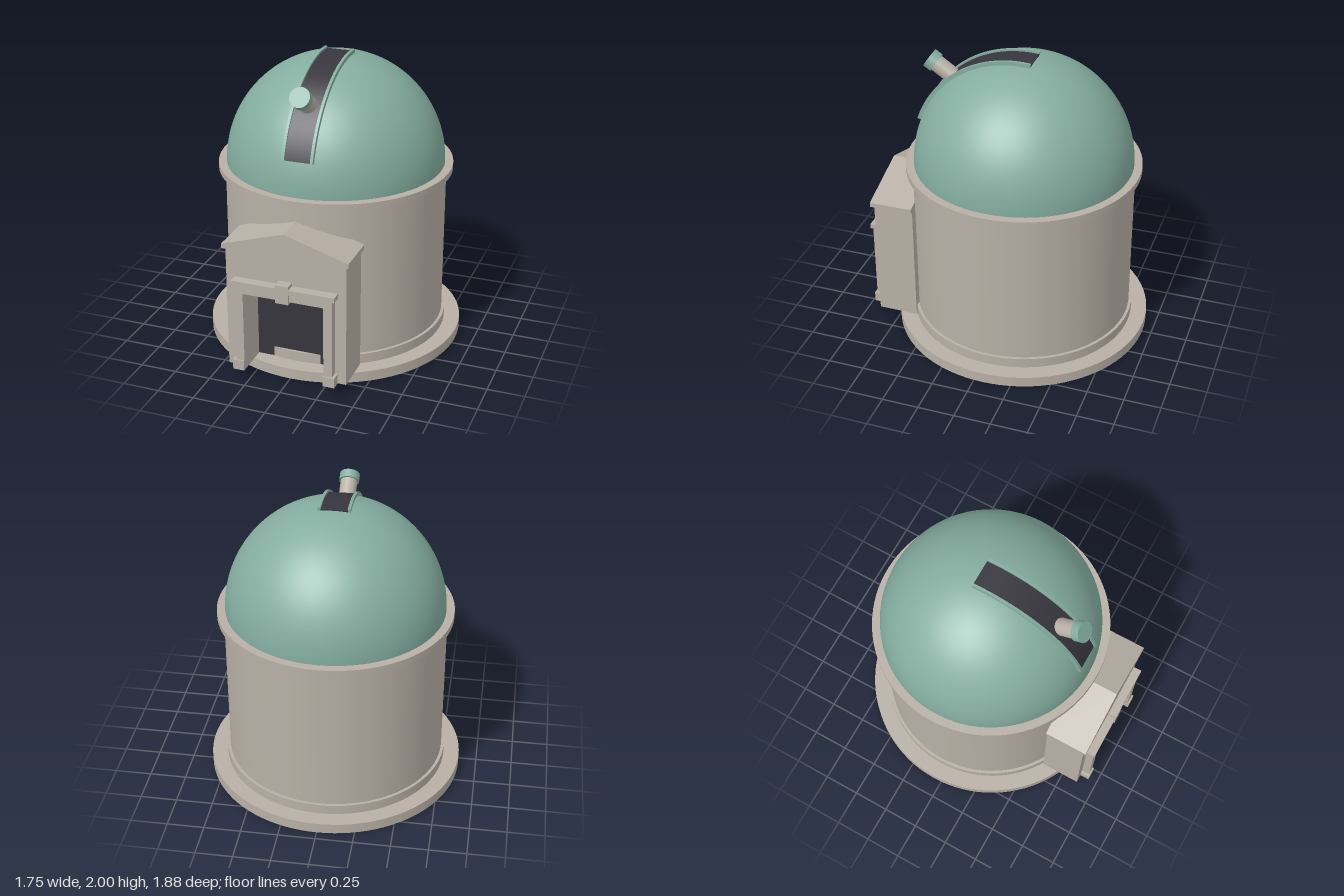
import * as THREE from 'three';
import { toCreasedNormals } from 'three/addons/utils/BufferGeometryUtils.js';

const CZ = -0.06; // z of the tower axis
const DOME_Y = 1.242;
const DOME_R = 0.738;

const paint = (name, color) => {
  const m = new THREE.MeshStandardMaterial({ color });
  m.name = name;
  return m;
};

export function createModel() {
  const model = new THREE.Group();
  model.name = 'observatory';
  const stone = paint('stone', 0xb8b0a6);
  const copper = paint('copperGreen', 0x84ad9f);
  const dark = paint('darkOpening', 0x37353d);

  const add = (name, geometry, material, parent = model) => {
    const mesh = new THREE.Mesh(geometry, material);
    mesh.name = name;
    parent.add(mesh);
    return mesh;
  };
  const box = (name, x0, x1, y0, y1, z0, z1, material, parent) =>
    add(name, new THREE.BoxGeometry(x1 - x0, y1 - y0, z1 - z0)
      .translate((x0 + x1) / 2, (y0 + y1) / 2, (z0 + z1) / 2), material, parent);
  const drum = (name, r, y0, y1) =>
    add(name, new THREE.CylinderGeometry(r, r, y1 - y0, 96)
      .translate(0, (y0 + y1) / 2, CZ), stone);
  // Front outline pushed along z
  const slab = (name, points, z0, z1, parent) => {
    const shape = new THREE.Shape(points.map(([x, y]) => new THREE.Vector2(x, y)));
    const geo = new THREE.ExtrudeGeometry(shape, { depth: z1 - z0, bevelEnabled: false });
    return add(name, geo.translate(0, 0, z0), stone, parent);
  };
  // Doorway outline: a block with an opening that reaches the ground
  const archway = (w, top, inner, innerTop, y0) => [
    [-w, y0], [-inner, y0], [-inner, innerTop], [inner, innerTop],
    [inner, y0], [w, y0], [w, top], [-w, top],
  ];

  // Round tower
  drum('base', 0.877, 0, 0.073);
  drum('plinth', 0.768, 0.073, 0.142);
  drum('wall', 0.748, 0.142, 1.198);
  drum('cornice', 0.793, 1.198, DOME_Y);

  // Dome
  add('dome', new THREE.SphereGeometry(DOME_R, 96, 40, 0, Math.PI * 2, 0, Math.PI / 2)
    .translate(0, DOME_Y, CZ), copper);

  // Curved strips running up the front of the dome and over its top
  const arcStrip = (name, r0, r1, x0, x1, material) => {
    const a = THREE.MathUtils.degToRad(18.2);
    const b = THREE.MathUtils.degToRad(95.5);
    const shape = new THREE.Shape();
    shape.absarc(0, 0, r1, a, b, false);
    shape.absarc(0, 0, r0, b, a, true);
    const geo = new THREE.ExtrudeGeometry(shape, { depth: x1 - x0, bevelEnabled: false, curveSegments: 48 });
    geo.translate(0, 0, -x1).rotateY(-Math.PI / 2).translate(0, DOME_Y, CZ);
    add(name, toCreasedNormals(geo, 0.4), material);
  };
  arcStrip('domeSlit', 0.72, 0.744, -0.087, 0.087, dark);
  arcStrip('slitRailLeft', 0.72, 0.757, 0.087, 0.106, copper);
  arcStrip('slitRailRight', 0.72, 0.757, -0.106, -0.087, copper);

  // Telescope, pointing forward and up
  const telescope = new THREE.Group();
  telescope.name = 'telescope';
  telescope.position.set(0, 1.888, 0.6);
  telescope.rotation.x = THREE.MathUtils.degToRad(90 - 33.7);
  model.add(telescope);
  add('telescopeTube', new THREE.CylinderGeometry(0.057, 0.057, 0.36, 32).translate(0, -0.23, 0), stone, telescope);
  add('telescopeCap', new THREE.CylinderGeometry(0.068, 0.068, 0.058, 32).translate(0, -0.029, 0), copper, telescope);

  // Entrance porch
  const porch = new THREE.Group();
  porch.name = 'porch';
  model.add(porch);
  slab('porchBody', archway(0.41, 0.92, 0.275, 0.635, 0.073), 0.598, 0.875, porch);
  slab('pediment', [[-0.43, 0.92], [0.43, 0.92], [0.43, 0.952], [0, 1.085], [-0.43, 0.952]], 0.598, 0.896, porch);
  box('door', -0.28, 0.28, 0.073, 0.64, 0.682, 0.69, dark, porch);

  // Door surround
  slab('doorFrame', archway(0.334, 0.69, 0.275, 0.635, 0.073), 0.87, 0.93, porch);
  box('lintel', -0.353, 0.353, 0.69, 0.723, 0.87, 0.941, stone, porch);
  box('keystone', -0.045, 0.045, 0.62, 0.747, 0.87, 0.944, stone, porch);
  for (const s of [-1, 1]) {
    const [x0, x1] = s > 0 ? [0.275, 0.353] : [-0.353, -0.275];
    box(s > 0 ? 'jambBaseLeft' : 'jambBaseRight', x0, x1, 0.073, 0.143, 0.87, 0.941, stone, porch);
  }
  return model;
}
